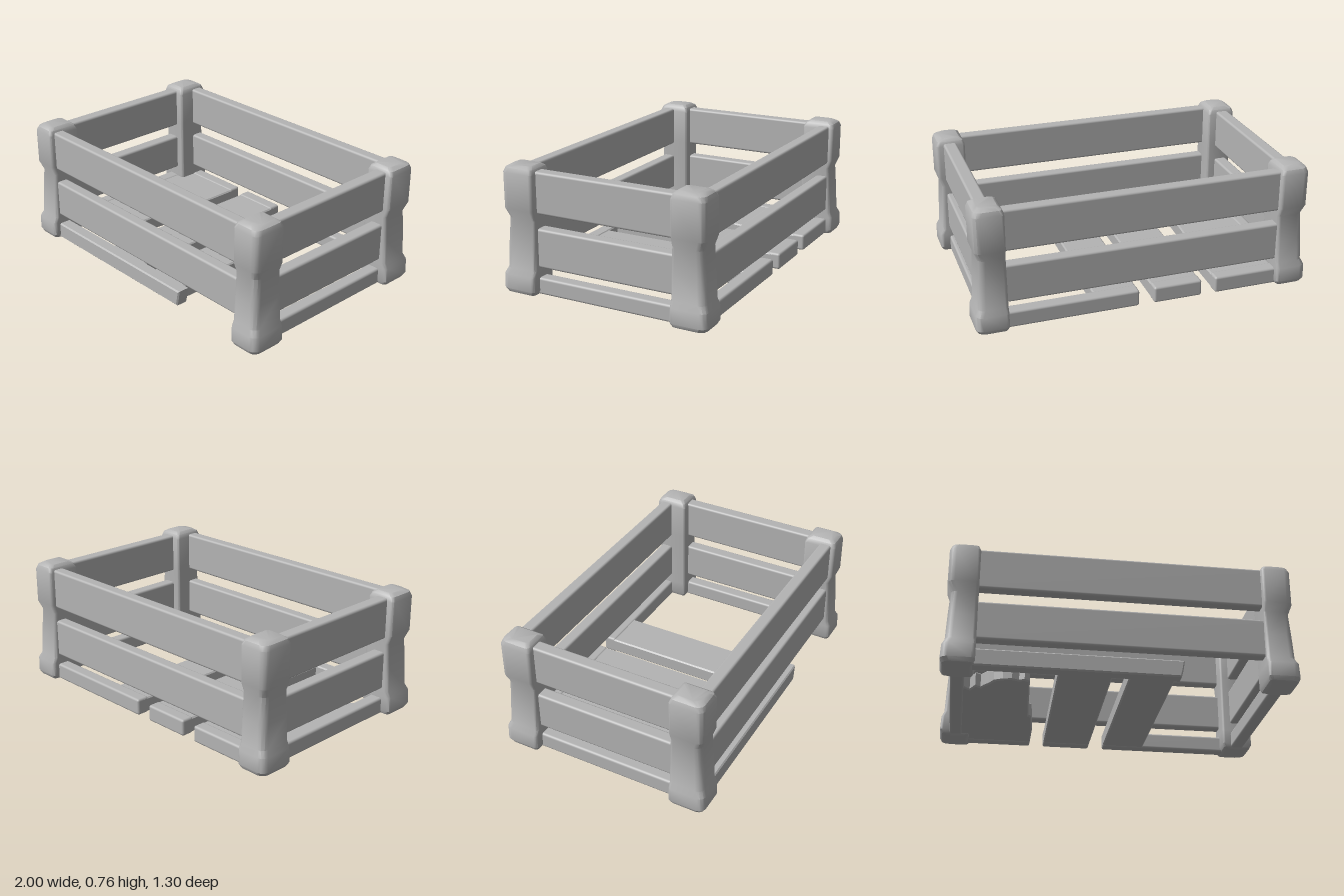
import * as THREE from 'three';
import { toCreasedNormals } from 'three/addons/utils/BufferGeometryUtils.js';
import { RoundedBoxGeometry } from 'three/addons/geometries/RoundedBoxGeometry.js';

const grey = new THREE.MeshStandardMaterial({ color: 0xb4b4b4 });
grey.name = 'plain grey';

// Heights of the three rows of slats
const ROWS = [[0.01, 0.11], [0.17, 0.4], [0.485, 0.73]];

// Post section by height: y, outer x, outer z, inset of the inner sides
const POST = [
  [0, 0.965, 0.61, 0.03], [0.012, 0.988, 0.638, 0.01], [0.035, 1.0, 0.65, 0],
  [0.12, 0.996, 0.648, 0], [0.155, 0.98, 0.632, 0], [0.3, 0.974, 0.625, 0],
  [0.45, 0.966, 0.615, 0], [0.505, 0.986, 0.635, 0], [0.715, 0.986, 0.635, 0],
  [0.742, 0.976, 0.624, 0.01], [0.757, 0.95, 0.6, 0.03],
];

// Rectangle with rounded corners, the outermost corner softer
function postSection([, ox, oz, inset]) {
  const ix = 0.81 + inset, iz = 0.43 + inset, pts = [];
  const corners = [[ox, oz, 1, 1, 0.04], [ix, oz, -1, 1, 0.02], [ix, iz, -1, -1, 0.015], [ox, iz, 1, -1, 0.02]];
  corners.forEach(([x, z, sx, sz, r], c) => {
    for (let k = 0; k <= 3; k++) {
      const a = (c + k / 3) * Math.PI / 2;
      pts.push([x - sx * r + r * Math.cos(a), z - sz * r + r * Math.sin(a)]);
    }
  });
  return pts;
}

function postGeometry(sx, sz) {
  const pos = [], index = [], n = 16, last = POST.length - 1;
  const tri = (a, b, c) => (sx * sz > 0 ? index.push(a, b, c) : index.push(a, c, b));
  POST.forEach((level) => postSection(level).forEach(([x, z]) => pos.push(x * sx, level[0], z * sz)));
  for (let j = 0; j < last; j++) {
    for (let i = 0; i < n; i++) {
      const a = j * n + i, b = j * n + (i + 1) % n;
      tri(a, a + n, b);
      tri(b, a + n, b + n);
    }
  }
  // Flat caps
  for (let i = 1; i < n - 1; i++) {
    tri(0, i, i + 1);
    tri(last * n, last * n + i + 1, last * n + i);
  }
  const g = new THREE.BufferGeometry();
  g.setAttribute('position', new THREE.Float32BufferAttribute(pos, 3));
  g.setIndex(index);
  return toCreasedNormals(g, 0.6);
}

// Slightly beveled plate from an outline
function plate(points, depth) {
  const bevel = 0.008;
  const shape = new THREE.Shape(points.map(([x, y]) => new THREE.Vector2(x, y)));
  const g = new THREE.ExtrudeGeometry(shape, {
    depth: depth - 2 * bevel, bevelThickness: bevel, bevelSize: bevel, bevelOffset: -bevel, bevelSegments: 1,
  });
  return g.translate(0, 0, bevel);
}

export function createModel() {
  const crate = new THREE.Group();
  crate.name = 'brokenCrate';
  const add = (name, geometry) => {
    const mesh = new THREE.Mesh(geometry, grey);
    mesh.name = name;
    crate.add(mesh);
  };
  // Slat given by its limits on each axis
  const slat = (name, [x0, x1], [y0, y1], [z0, z1]) => {
    const g = new RoundedBoxGeometry(x1 - x0, y1 - y0, z1 - z0, 2, 0.014);
    add(name, g.translate((x0 + x1) / 2, (y0 + y1) / 2, (z0 + z1) / 2));
  };

  // Corner posts
  for (const sx of [-1, 1]) for (const sz of [-1, 1]) add('cornerPost', postGeometry(sx, sz));

  // Side slats, and the whole front and back slats
  ROWS.forEach((row, i) => {
    slat('leftSlat', [0.862, 0.942], row, [-0.5, 0.5]);
    slat('rightSlat', [-0.942, -0.862], row, [-0.5, 0.5]);
    if (i > 0) {
      slat('frontSlat', [-0.87, 0.87], row, [0.53, 0.605]);
      slat('backSlat', [-0.87, 0.87], row, [-0.605, -0.53]);
    }
  });

  // Bottom back rail in three pieces
  for (const span of [[0.04, 0.87], [-0.345, -0.05], [-0.87, -0.43]]) {
    slat('backBottomRail', span, ROWS[0], [-0.61, -0.53]);
  }

  // Bottom front rail, snapped off before the left post
  const rail = plate([[-0.87, 0.01], [0.325, 0.01], [0.335, 0.05], [0.345, 0.11], [-0.87, 0.11]], 0.08);
  add('brokenFrontRail', rail.translate(0, 0, 0.53));

  // Whole floor boards
  const lay = (name, outline) => add(name, plate(outline, 0.09).rotateX(Math.PI / 2).translate(0, 0.105, 0));
  lay('middleFloorBoard', [[-0.343, -0.57], [-0.05, -0.57], [-0.05, 0.57], [-0.355, 0.57]]);
  lay('leftFloorBoard', [[0.04, -0.57], [0.3, -0.57], [0.3, 0.57], [0.042, 0.57]]);

  // Splintered floor board
  lay('splinteredFloorBoard', [
    [-0.88, -0.57], [-0.43, -0.57], [-0.432, -0.35], [-0.445, -0.2], [-0.455, -0.11], [-0.47, -0.1],
    [-0.485, 0.12], [-0.49, 0.25], [-0.5, 0.41], [-0.53, 0.43], [-0.56, 0.415], [-0.6, 0.43],
    [-0.65, 0.42], [-0.7, 0.395], [-0.725, 0.35], [-0.75, 0.32], [-0.77, 0.29], [-0.8, 0.31],
    [-0.83, 0.25], [-0.86, 0.28], [-0.88, 0.3],
  ]);
  return crate;
}
